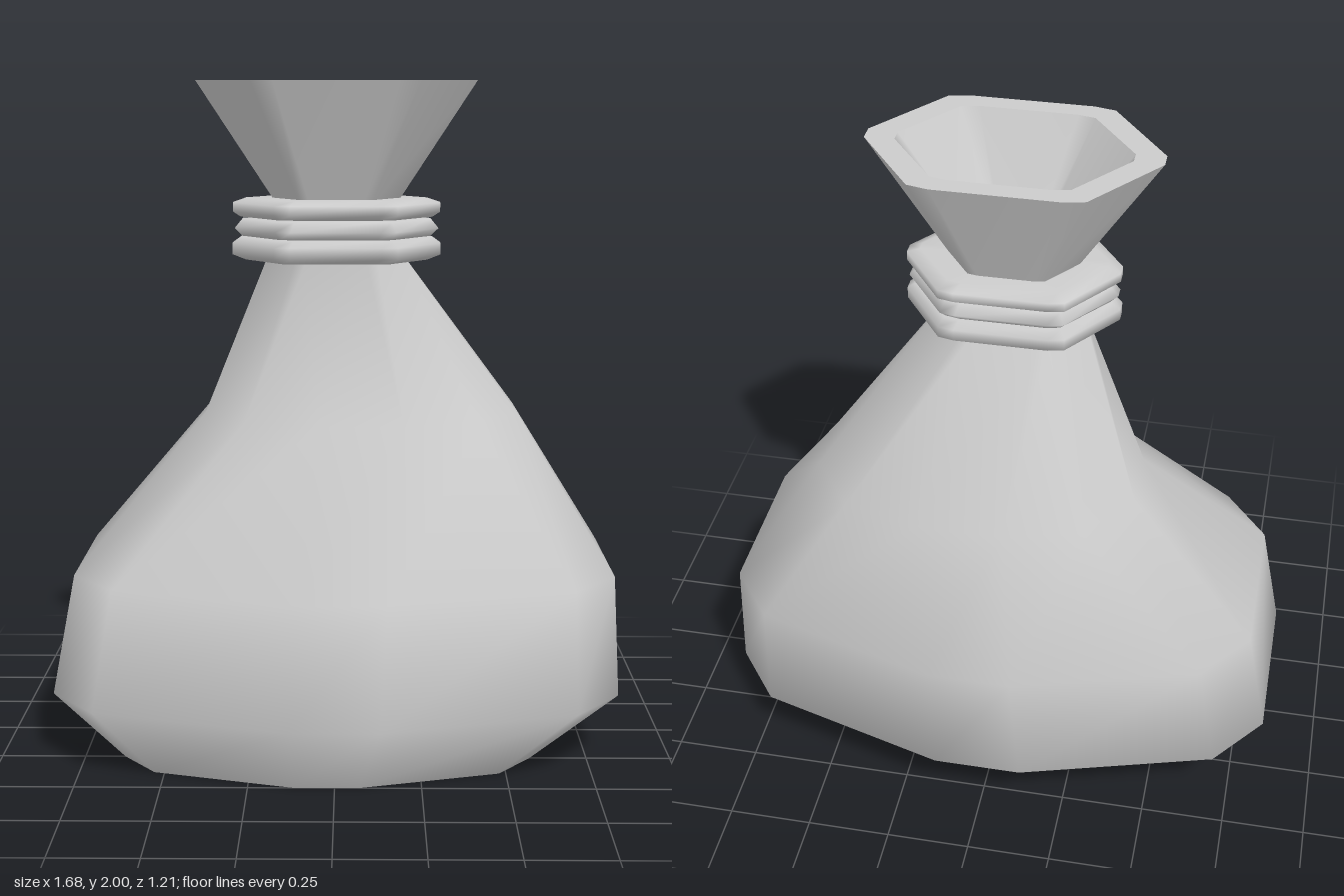
import * as THREE from 'three';

// One quadrant of the plan outline, as fractions of the half width and half depth
const WIDE = [[1, 0.43], [0.835, 0.725], [0.155, 1]];
const HEX = [[1, 0.09], [0.58, 0.95], [0.43, 1]];

// Mirror a blended quadrant into a twelve-cornered outline
function outline(blend) {
  const q = WIDE.map(([x, z], i) => [
    THREE.MathUtils.lerp(x, HEX[i][0], blend),
    THREE.MathUtils.lerp(z, HEX[i][1], blend),
  ]);
  const flip = (sx, sz) => q.map(([x, z]) => [x * sx, z * sz]);
  return [...flip(1, 1), ...flip(-1, 1).reverse(), ...flip(-1, -1), ...flip(1, -1).reverse()];
}

// Skin a run of sections: { y, x: [min, max], z: [min, max], blend }
function loft(name, sections) {
  const positions = [], index = [], n = 12;
  for (const { y, x, z, blend } of sections) {
    for (const [u, v] of outline(blend)) {
      positions.push(
        (x[0] + x[1]) / 2 + u * (x[1] - x[0]) / 2,
        y,
        (z[0] + z[1]) / 2 + v * (z[1] - z[0]) / 2,
      );
    }
  }
  for (let r = 0; r < sections.length - 1; r++) {
    for (let i = 0; i < n; i++) {
      const a = r * n + i, b = r * n + (i + 1) % n;
      index.push(a, a + n, b, b, a + n, b + n);
    }
  }
  const geometry = new THREE.BufferGeometry();
  geometry.setAttribute('position', new THREE.Float32BufferAttribute(positions, 3));
  geometry.setIndex(index);
  geometry.computeVertexNormals();
  const mesh = new THREE.Mesh(geometry, new THREE.MeshStandardMaterial({ color: 0xcccccc }));
  mesh.name = name;
  return mesh;
}

// Section centred on the axis, in the neck's outline
const hex = (y, hx, hz) => ({ y, x: [-hx, hx], z: [-hz, hz], blend: 1 });

export function createModel() {
  const sack = new THREE.Group();
  sack.name = 'tiedSack';

  // Lopsided body, leaning in at the front and right
  const base = { y: 0, x: [-0.63, 0.58], z: [-0.37, 0.5], blend: 0 };
  const body = [
    base,
    { y: 0.2, x: [-0.84, 0.84], z: [-0.605, 0.605], blend: 0 },
    { y: 0.555, x: [-0.775, 0.825], z: [-0.6, 0.56], blend: 0 },
    { y: 1, x: [-0.4, 0.55], z: [-0.46, 0.215], blend: 0.4 },
    hex(1.47, 0.21, 0.142),
    hex(1.64, 0.18, 0.12),
  ];
  sack.add(loft('body', body));
  sack.add(loft('base', [{ ...base, x: [-0.025, -0.025], z: [0.065, 0.065] }, base]));

  // Flared mouth with a thick flat rim and a hollow inside
  const outer = hex(2, 0.415, 0.272), inner = hex(2, 0.33, 0.214);
  const floor = hex(1.66, 0.1, 0.065);
  sack.add(loft('mouth', [hex(1.64, 0.18, 0.12), outer]));
  sack.add(loft('rim', [outer, inner]));
  sack.add(loft('mouthInside', [inner, floor, hex(1.66, 0, 0)]));

  // Three coils of cord around the neck
  const coils = [
    [[0.17, 1.47], [0.27, 1.472], [0.31, 1.488], [0.31, 1.522], [0.285, 1.54], [0.17, 1.543]],
    [[0.17, 1.54], [0.28, 1.543], [0.303, 1.566], [0.28, 1.594], [0.17, 1.597]],
    [[0.17, 1.594], [0.285, 1.6], [0.308, 1.615], [0.308, 1.642], [0.27, 1.655], [0.17, 1.656]],
  ];
  coils.forEach((profile, i) => {
    sack.add(loft(`cordCoil${i + 1}`, profile.map(([hx, y]) => hex(y, hx, hx - 0.098))));
  });

  return sack;
}
